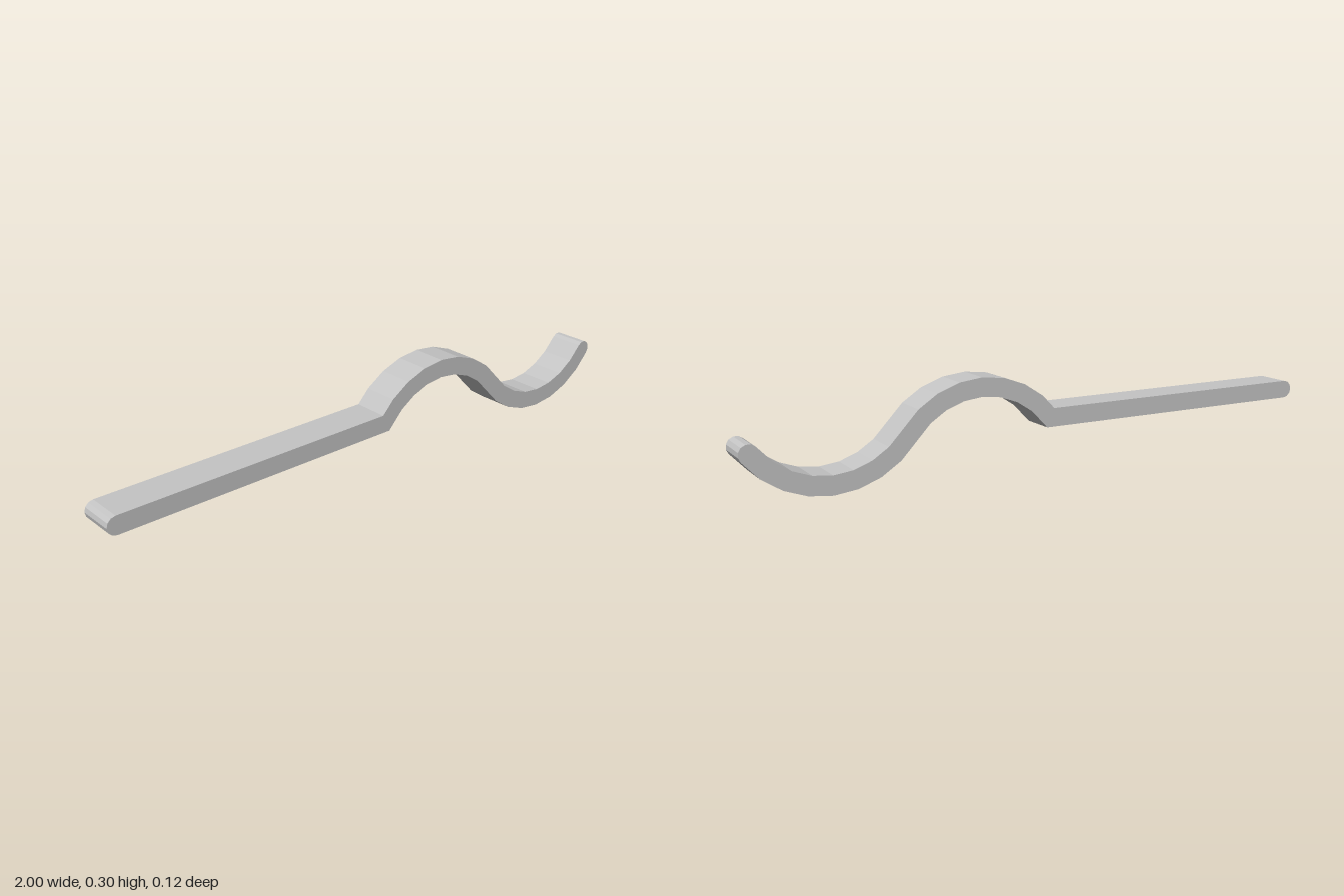
import * as THREE from 'three';

const HALF = 0.03;      // half the thickness of the strip
const DEPTH = 0.12;     // width of the strip along z
const MID = 0.1513;     // height of the straight centreline
const SPAN = 0.485;     // chord of each bend
const RISE = SPAN / 4;  // height of each bend
const STEPS = 8;
const CAP = 6;

// Points of one circular bend, after its first point
function bend(x0, sign) {
  const c = SPAN / 2;
  const r = (c * c + RISE * RISE) / (2 * RISE);
  const a = Math.asin(c / r);
  return Array.from({ length: STEPS }, (_, i) => {
    const t = -a + (2 * a * (i + 1)) / STEPS;
    return new THREE.Vector2(x0 + c + r * Math.sin(t), MID + sign * (RISE - r + r * Math.cos(t)));
  });
}

// Mitred offset of a path to both sides, with a round cap at each end
function stripShape(path) {
  const last = path.length - 1;
  const dirs = path.slice(1).map((p, i) => p.clone().sub(path[i]).normalize());
  const normal = (d) => new THREE.Vector2(-d.y, d.x);
  const left = [], right = [];
  path.forEach((p, i) => {
    const a = normal(dirs[Math.max(i - 1, 0)]);
    const b = normal(dirs[Math.min(i, last - 1)]);
    const m = a.clone().add(b).normalize();
    m.multiplyScalar(HALF / m.dot(a));
    left.push(p.clone().add(m));
    right.push(p.clone().sub(m));
  });
  const cap = (p, start) => Array.from({ length: CAP - 1 }, (_, i) => {
    const t = start + (Math.PI * (i + 1)) / CAP;
    return new THREE.Vector2(p.x + HALF * Math.cos(t), p.y + HALF * Math.sin(t));
  });
  const endAngle = dirs[last - 1].angle();
  const startAngle = dirs[0].angle();
  return new THREE.Shape([
    ...right,
    ...cap(path[last], endAngle - Math.PI / 2),
    ...left.reverse(),
    ...cap(path[0], startAngle + Math.PI / 2),
  ]);
}

export function createModel() {
  const group = new THREE.Group();
  group.name = 'wavyStrip';

  const grey = new THREE.MeshStandardMaterial({ color: 0xc4c4c4 });
  grey.name = 'light grey';

  // Straight handle, then a bend up and a bend down
  const path = [
    new THREE.Vector2(-2 * SPAN, MID),
    new THREE.Vector2(0, MID),
    ...bend(0, 1),
    ...bend(SPAN, -1),
  ];
  const geometry = new THREE.ExtrudeGeometry(stripShape(path), { depth: DEPTH, bevelEnabled: false });
  geometry.translate(0, 0, -DEPTH / 2);

  const strip = new THREE.Mesh(geometry, grey);
  strip.name = 'strip';
  group.add(strip);
  return group;
}
